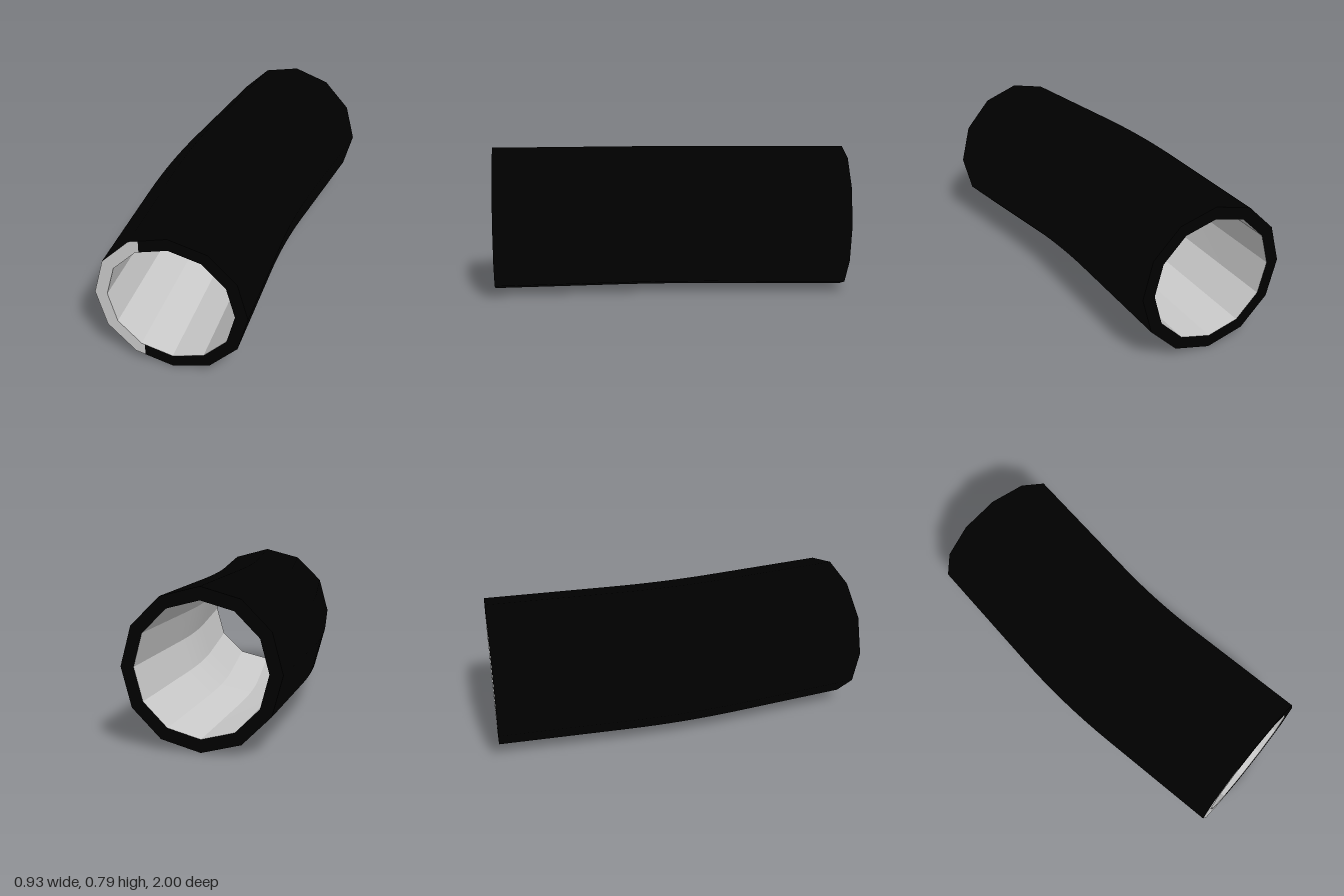
import * as THREE from 'three';
import { toCreasedNormals } from 'three/addons/utils/BufferGeometryUtils.js';

const SIDES = 12;
const OUTER = 0.393, INNER = 0.328;
const BEND = THREE.MathUtils.degToRad(9);
const BEND_STEPS = 8, TANGENT = 0.3;

// Centre line: straight, a gentle arc, straight again
function centreLine() {
  const R = TANGENT / Math.tan(BEND / 2);
  const stations = [{ x: -0.073, z: -1, a: 0 }];
  for (let i = 0; i <= BEND_STEPS; i++) {
    const a = (BEND * i) / BEND_STEPS;
    stations.push({ x: -0.073 + R * (1 - Math.cos(a)), z: -TANGENT + R * Math.sin(a), a });
  }
  stations.push({ x: 0.075, z: 0.939, a: BEND });
  return stations;
}

// Ring of points square to the centre line; tilt leans the ring about a vertical axis
function ring({ x, z, a }, radius, tilt = 0) {
  const points = [];
  for (let i = 0; i < SIDES; i++) {
    const t = (i / SIDES) * Math.PI * 2;
    const u = radius * Math.cos(t);
    const push = -tilt * (u + 0.147);
    points.push([
      x + u * Math.cos(a) + push * Math.sin(a),
      OUTER + radius * Math.sin(t),
      z - u * Math.sin(a) + push * Math.cos(a),
    ]);
  }
  return points;
}

// Skin a list of rings with quads
function skin(name, rings, color) {
  const index = [];
  for (let s = 0; s < rings.length - 1; s++) {
    for (let i = 0; i < SIDES; i++) {
      const j = (i + 1) % SIDES;
      const a = s * SIDES + i, b = s * SIDES + j;
      index.push(a, b, b + SIDES, a, b + SIDES, a + SIDES);
    }
  }
  const geometry = new THREE.BufferGeometry();
  geometry.setAttribute('position', new THREE.Float32BufferAttribute(rings.flat(2), 3));
  geometry.setIndex(index);
  const mesh = new THREE.Mesh(
    toCreasedNormals(geometry, 0.3),
    new THREE.MeshStandardMaterial({ color })
  );
  mesh.name = name;
  return mesh;
}

export function createModel() {
  const group = new THREE.Group();
  group.name = 'bentPipe';
  const path = centreLine();
  const back = path[0], front = path[path.length - 1];

  // Black outer wall with a rim at each end
  group.add(skin('outerShell', [
    ring(back, INNER),
    ...path.map((p) => ring(p, OUTER)),
    ring(front, INNER),
  ], 0x000000));

  // Grey bore, with a slightly leaning lip that shows on one side of the front rim
  const tilt = 0.003;
  group.add(skin('innerLiner', [
    ring(front, OUTER, tilt),
    ring(front, INNER, tilt),
    ...path.slice(0, -1).reverse().map((p) => ring(p, INNER)),
  ], 0xcccccc));

  return group;
}
